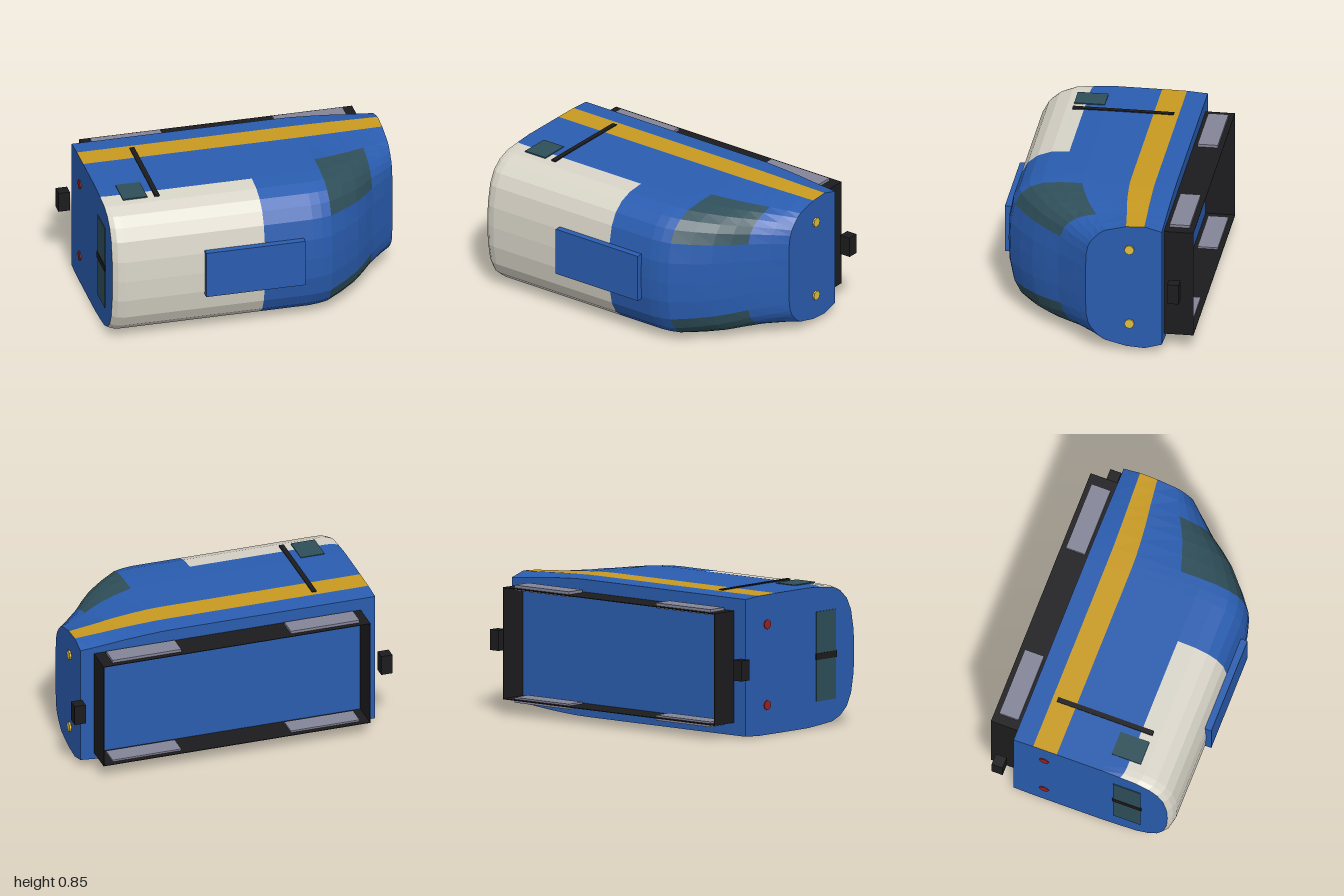
import * as THREE from 'three';

const CY = 0.427; // mid-height of the body, which lies on its side (roof towards +z)
const BLUE = 0x2a5db0, CREAM = 0xd8d4c8, GOLD = 0xc99a20, GLASS = 0x2f4f5a;
const BLACK = 0x1c1c1e, GREY = 0x858599, YELLOW = 0xe0c040, RED = 0xa02020;

const mat = (color, extra = {}) => new THREE.MeshStandardMaterial({ color, flatShading: true, ...extra });

// Half cross-sections [half width, z] from floor edge to roof ridge: full size and at the nose
const FULL = [[.413, -.435], [.421, -.31], [.422, -.16], [.422, .13], [.42, .26], [.41, .37],
  [.38, .45], [.33, .51], [.255, .55], [.13, .575], [0, .58]];
const NOSE = [[.37, -.435], [.4, -.33], [.393, -.22], [.36, -.09], [.34, -.06], [.31, -.03],
  [.28, -.005], [.25, .01], [.2, .02], [.1, .025], [0, .025]];
// Stations along the body: [x, height of the roof ridge]
const STATIONS = [[-.93, .545], [-.9, .57], [-.86, .58], [0, .58], [.3, .58], [.36, .572], [.42, .555],
  [.52, .48], [.62, .39], [.69, .305], [.755, .215], [.85, .11], [.925, .025]];

function ring([x, top]) {
  const half = FULL.map(([h, z], i) => {
    if (x < 0) { // rounded rear edge
      const s = top / .58;
      return i > 3 ? [h * (1 - (1 - s) * .25), z * s] : [h, z];
    }
    const k = (.58 - top) / .555;
    return [h + (NOSE[i][0] - h) * k, z + (NOSE[i][1] - z) * k];
  });
  const left = half.map(([h, z]) => [x, CY + h, z]);
  const right = half.slice(0, -1).reverse().map(([h, z]) => [x, CY - h, z]);
  return [...left, ...right];
}

// Body shell, sorted into one mesh per paint colour
function bodyShell() {
  const rings = STATIONS.map(ring), n = rings[0].length;
  const parts = { shell: [], roofPanel: [], stripe: [], cabWindows: [] };
  for (let j = 0; j < rings.length - 1; j++) {
    const xa = STATIONS[j][0];
    for (let i = 0; i < n; i++) {
      const k = (i + 1) % n;
      const row = i === n - 1 ? -1 : Math.min(i, n - 2 - i);
      let name = 'shell';
      if (row === 1) name = 'stripe';
      else if (row >= 4 && xa < 0) name = 'roofPanel';
      else if (row >= 3 && row < 8 && xa > .41 && xa < .75) name = 'cabWindows';
      const [a, b, c, d] = [rings[j][i], rings[j][k], rings[j + 1][k], rings[j + 1][i]];
      parts[name].push(...a, ...b, ...c, ...a, ...c, ...d);
    }
  }
  // flat ends
  const rear = rings[0], front = rings[rings.length - 1];
  for (let i = 1; i < n - 1; i++) {
    parts.shell.push(...front[0], ...front[i], ...front[i + 1]);
    parts.shell.push(...rear[0], ...rear[i + 1], ...rear[i]);
  }
  const colors = { shell: BLUE, roofPanel: CREAM, stripe: GOLD, cabWindows: GLASS };
  const group = new THREE.Group();
  group.name = 'body';
  for (const name in parts) {
    const g = new THREE.BufferGeometry();
    g.setAttribute('position', new THREE.Float32BufferAttribute(parts[name], 3));
    g.computeVertexNormals();
    const m = new THREE.Mesh(g, mat(colors[name]));
    m.name = name;
    group.add(m);
  }
  return group;
}

// Box given by its limits
function box(name, color, [x0, x1], [y0, y1], [z0, z1]) {
  const m = new THREE.Mesh(new THREE.BoxGeometry(x1 - x0, y1 - y0, z1 - z0), mat(color));
  m.position.set((x0 + x1) / 2, (y0 + y1) / 2, (z0 + z1) / 2);
  m.name = name;
  return m;
}

export function createModel() {
  const model = new THREE.Group();
  model.add(bodyShell());
  model.add(box('roofHatch', BLUE, [-.37, .24], [CY - .148, CY + .148], [.56, .613]));

  // Underframe: thin walls, open towards the track
  const hw = .337, t = .004, zr = [-.613, -.435];
  for (const s of [-1, 1]) {
    const y = CY + s * (hw - t / 2), x = s * (.84 - t / 2);
    model.add(box('underframeSide', BLACK, [-.84, .84], [y - t / 2, y + t / 2], zr));
    model.add(box('underframeEnd', BLACK, [x - t / 2, x + t / 2], [CY - hw, CY + hw], zr));
  }

  for (const s of [-1, 1]) {
    // Bogie plates
    const yb = CY + s * .338;
    for (const x of [-.565, .557])
      model.add(box('bogiePlate', GREY, [x - .216, x + .216], [yb - .016, yb + .016], [-.582, -.46]));
    // Couplers
    model.add(box('coupler', BLACK, [s * .965 - .035, s * .965 + .035], [CY - .062, CY + .062], [-.548, -.478]));
    // Side window and door strip
    const yw = CY + s * .422;
    model.add(box('sideWindow', GLASS, [-.81, -.66], [yw - .004, yw + .004], [.145, .33]));
    model.add(box('doorStrip', BLACK, [-.615, -.585], [yw - .005, yw + .005], [-.28, .33]));
    // Head lamps and tail lamps
    for (const e of [-1, 1]) {
      const lamp = new THREE.Mesh(new THREE.CylinderGeometry(.03, .03, .016, 8), mat(e > 0 ? YELLOW : RED));
      lamp.rotation.z = Math.PI / 2;
      lamp.position.set(e * .928, CY + s * .243, -.24);
      lamp.name = e > 0 ? 'headLamp' : 'tailLamp';
      model.add(lamp);
    }
  }

  // Rear window with its centre bar
  model.add(box('rearWindow', GLASS, [-.935, -.925], [CY - .27, CY + .27], [.2, .375]));
  model.add(box('rearWindowBar', BLACK, [-.938, -.925], [CY - .02, CY + .02], [.195, .38]));
  return model;
}
